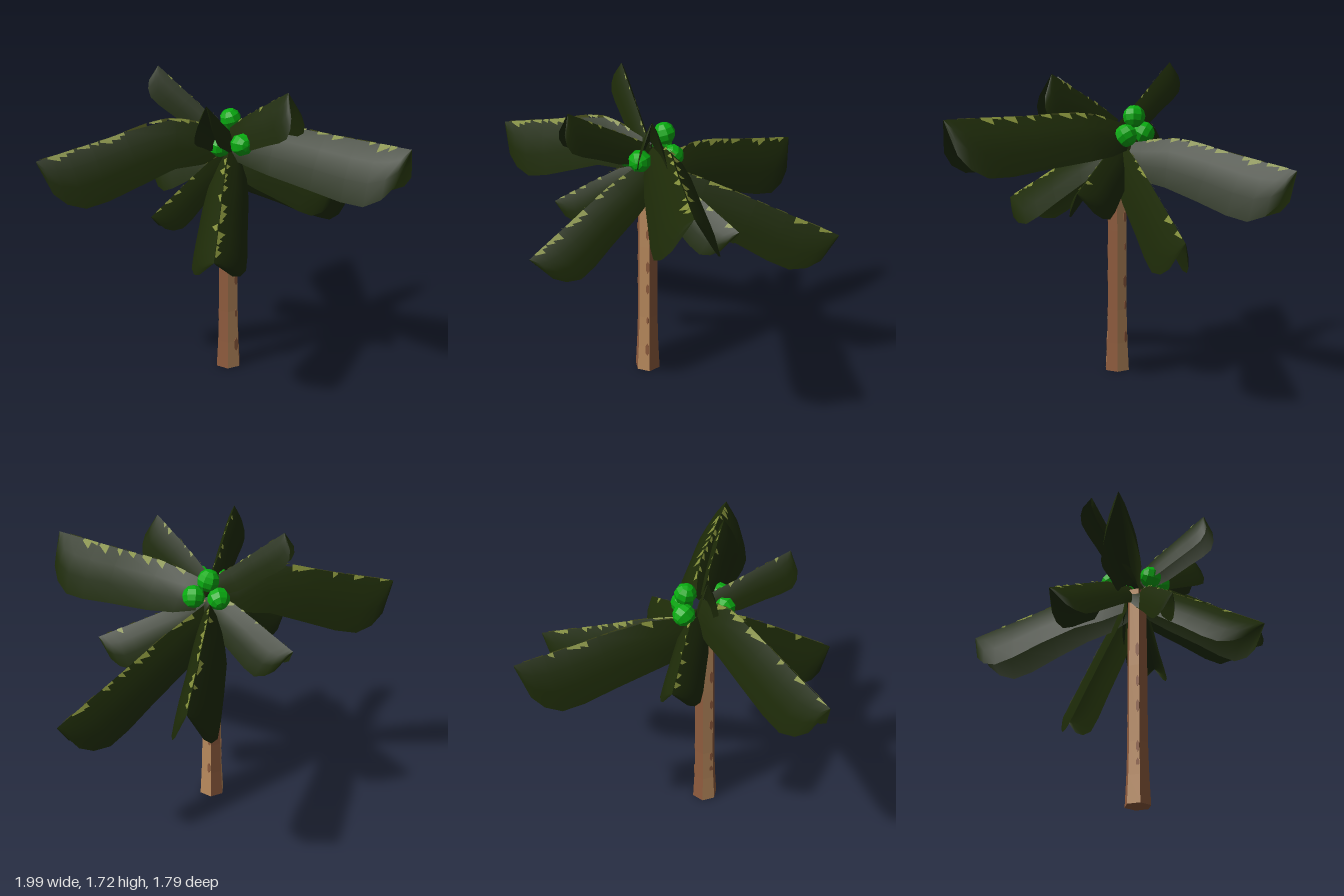
import * as THREE from 'three';
import { mergeGeometries } from 'three/addons/utils/BufferGeometryUtils.js';

const mat = (name, color, side = THREE.FrontSide) => {
  const m = new THREE.MeshStandardMaterial({ color, side });
  m.name = name;
  return m;
};

// Seeded random numbers for the flecks and bark patches
let seed = 7;
const rnd = () => (seed = (seed * 16807) % 2147483647) / 2147483647;

const flat = (geo) => {
  const g = geo.toNonIndexed();
  g.computeVertexNormals();
  return g;
};

// Grid surface from a rule point(i, j)
function grid(rows, cols, point, flip) {
  const pos = [], idx = [];
  for (let i = 0; i < rows; i++) for (let j = 0; j < cols; j++) pos.push(...point(i, j).toArray());
  for (let i = 0; i < rows - 1; i++) {
    for (let j = 0; j < cols - 1; j++) {
      const a = i * cols + j, b = a + 1, c = a + cols, d = c + 1;
      if (flip) idx.push(a, c, b, b, c, d);
      else idx.push(a, b, c, b, d, c);
    }
  }
  const g = new THREE.BufferGeometry();
  g.setAttribute('position', new THREE.Float32BufferAttribute(pos, 3));
  g.setIndex(idx);
  g.computeVertexNormals();
  return g;
}

// Frond outline: distance along the ridge, and share of full drop there
const S = [0, 0.1, 0.28, 0.55, 0.72, 0.84, 0.92, 0.97, 1];
const F = [0.5, 0.7, 0.85, 0.93, 1, 1, 0.84, 0.6, 0.04];

// Folded frond: a bent ridge with two arched sides hanging from it
function makeFrond([base, knee, tip, w, d, flecks], leafMat, fleckMat) {
  const [p0, p1, p3] = [base, knee, tip].map((p) => new THREE.Vector3(...p));
  const ridge = new THREE.CatmullRomCurve3([p0, p1, p1.clone().lerp(p3, 0.5), p3]);
  const up = new THREE.Vector3(0, 1, 0);
  const share = (s) => {
    let k = 1;
    while (k < S.length - 1 && S[k] < s) k++;
    return THREE.MathUtils.mapLinear(s, S[k - 1], S[k], F[k - 1], F[k]);
  };
  const point = (s, v, sign, lift = 0) => {
    const t = ridge.getTangentAt(s);
    const side = t.clone().cross(up).normalize();
    const normal = side.clone().cross(t).normalize();
    const f = share(s);
    return ridge.getPointAt(s)
      .addScaledVector(side, sign * (w * f * v * (1.6 - 0.6 * v) + lift))
      .addScaledVector(normal, lift - d * f * v * (0.7 + 0.3 * v));
  };
  const group = new THREE.Group();
  const halves = [1, -1].map((sign) =>
    grid(S.length, 4, (i, j) => point(S[i], j / 3, sign), sign > 0));
  const blade = new THREE.Mesh(mergeGeometries(halves), leafMat);
  blade.name = 'frondBlade';
  group.add(blade);

  // Dry flecks scattered along the ridge
  const bits = [];
  for (let n = 0; n < flecks; n++) {
    const s = 0.12 + 0.82 * (n + rnd() * 0.6) / flecks;
    const sign = rnd() < 0.5 ? 1 : -1;
    const len = 0.025 + rnd() * 0.045, v = 0.06 + rnd() * 0.12;
    const e = Math.min(s + len, 0.98);
    bits.push(grid(2, 2, (i, j) => point(i ? e : s, j ? v * (i ? 0.3 : 1) : 0, sign, 0.003), sign > 0));
  }
  const fleckMesh = new THREE.Mesh(mergeGeometries(bits), fleckMat);
  fleckMesh.name = 'frondFlecks';
  group.add(fleckMesh);
  return group;
}

export function createModel() {
  const model = new THREE.Group();
  model.name = 'palmTree';
  const leaf = mat('leafGreen', 0x1d2a08, THREE.DoubleSide);
  const dry = mat('dryLeafYellow', 0x7f8a38, THREE.DoubleSide);
  const barkLight = mat('lightBark', 0xba8b5e);
  const barkDark = mat('darkBark', 0x8f5c3e);
  const nutGreen = mat('coconutGreen', 0x08ab10);

  // Six-sided trunk, flared at the foot, alternate faces in two browns
  const trunk = new THREE.Group();
  trunk.name = 'trunk';
  trunk.position.set(0.02, 0, 0.068);
  const profile = [[0.075, 0], [0.066, 0.16], [0.06, 0.35], [0.059, 0.8], [0.055, 1.28]]
    .map((p) => new THREE.Vector2(...p));
  const step = Math.PI / 3, start = -Math.PI / 6 + 0.1;
  for (let k = 0; k < 6; k++) {
    const face = new THREE.Mesh(
      flat(new THREE.LatheGeometry(profile, 1, start + k * step, step)), k % 2 ? barkDark : barkLight);
    face.name = 'trunkFace';
    trunk.add(face);
  }
  const foot = new THREE.Mesh(new THREE.CircleGeometry(0.075, 6), barkDark);
  foot.name = 'trunkFoot';
  foot.rotation.set(Math.PI / 2, 0, -0.1);
  trunk.add(foot);

  // Bark patches along one edge of each light face
  const patches = [];
  for (let k = 0; k < 6; k += 2) {
    for (let n = 0; n < 5; n++) {
      const y = 0.14 + n * 0.17 + rnd() * 0.08, h = 0.02 + rnd() * 0.025;
      const g = new THREE.CylinderGeometry(h, h, 0.004, 6).rotateX(Math.PI / 2);
      g.scale(0.3, 1, 1);
      const r = (y < 0.2 ? 0.067 : y < 0.4 ? 0.062 : 0.0595) * Math.cos(step / 2);
      g.translate(0.02, y, r).rotateY(start + (k + 0.5) * step);
      patches.push(g);
    }
  }
  const patchMesh = new THREE.Mesh(mergeGeometries(patches), barkDark);
  patchMesh.name = 'barkPatches';
  trunk.add(patchMesh);
  model.add(trunk);

  // Fronds: base, knee and tip of the ridge, half width, drop, flecks
  const fronds = [
    [[0.04, 1.28, 0.02], [0.16, 1.315, -0.27], [0.48, 1.18, -0.88], 0.115, 0.3, 16],
    [[0.04, 1.28, 0.03], [0.3, 1.19, -0.07], [0.99, 0.89, -0.33], 0.08, 0.27, 16],
    [[0.05, 1.39, 0.03], [0.21, 1.45, 0.21], [0.66, 1.44, 0.88], 0.16, 0.29, 16],
    [[0.02, 1.31, 0.08], [-0.09, 1.22, 0.28], [-0.33, 0.93, 0.73], 0.14, 0.22, 16],
    [[0.03, 1.39, 0.04], [-0.28, 1.47, -0.02], [-1, 1.29, -0.1], 0.1, 0.3, 22],
    [[0.04, 1.33, 0.03], [-0.05, 1.31, -0.12], [-0.25, 1.15, -0.435], 0.11, 0.21, 8],
    [[0.04, 1.38, 0.07], [-0.05, 1.47, -0.01], [-0.28, 1.72, -0.21], 0.052, 0.145, 6],
    [[0.03, 1.3, 0.08], [-0.14, 1.24, 0.13], [-0.48, 1.02, 0.22], 0.052, 0.16, 8],
    [[0.03, 1.41, 0.06], [0.085, 1.5, 0.17], [0.21, 1.66, 0.4], 0.075, 0.215, 6],
    [[0.03, 1.39, 0.06], [-0.05, 1.46, 0.16], [-0.25, 1.64, 0.43], 0.06, 0.175, 6],
    [[0.04, 1.29, 0.06], [0.22, 1.24, 0.1], [0.62, 1.07, 0.22], 0.11, 0.2, 8],
  ];
  for (const f of fronds) {
    const frond = makeFrond(f, leaf, dry);
    frond.name = 'frond';
    model.add(frond);
  }

  // Cluster of faceted coconuts
  const nutGeo = flat(new THREE.SphereGeometry(0.062, 8, 6));
  const nuts = [[0.07, 1.43, -0.03], [0.14, 1.33, 0.01], [0.03, 1.34, -0.08], [0.04, 1.35, 0.2], [-0.06, 1.34, 0.14]];
  nuts.forEach((p, i) => {
    const nut = new THREE.Mesh(nutGeo, nutGreen);
    nut.name = 'coconut';
    nut.position.set(...p);
    nut.rotation.set(0.4 * i, 0.7 * i, 0.3);
    model.add(nut);
  });
  return model;
}
